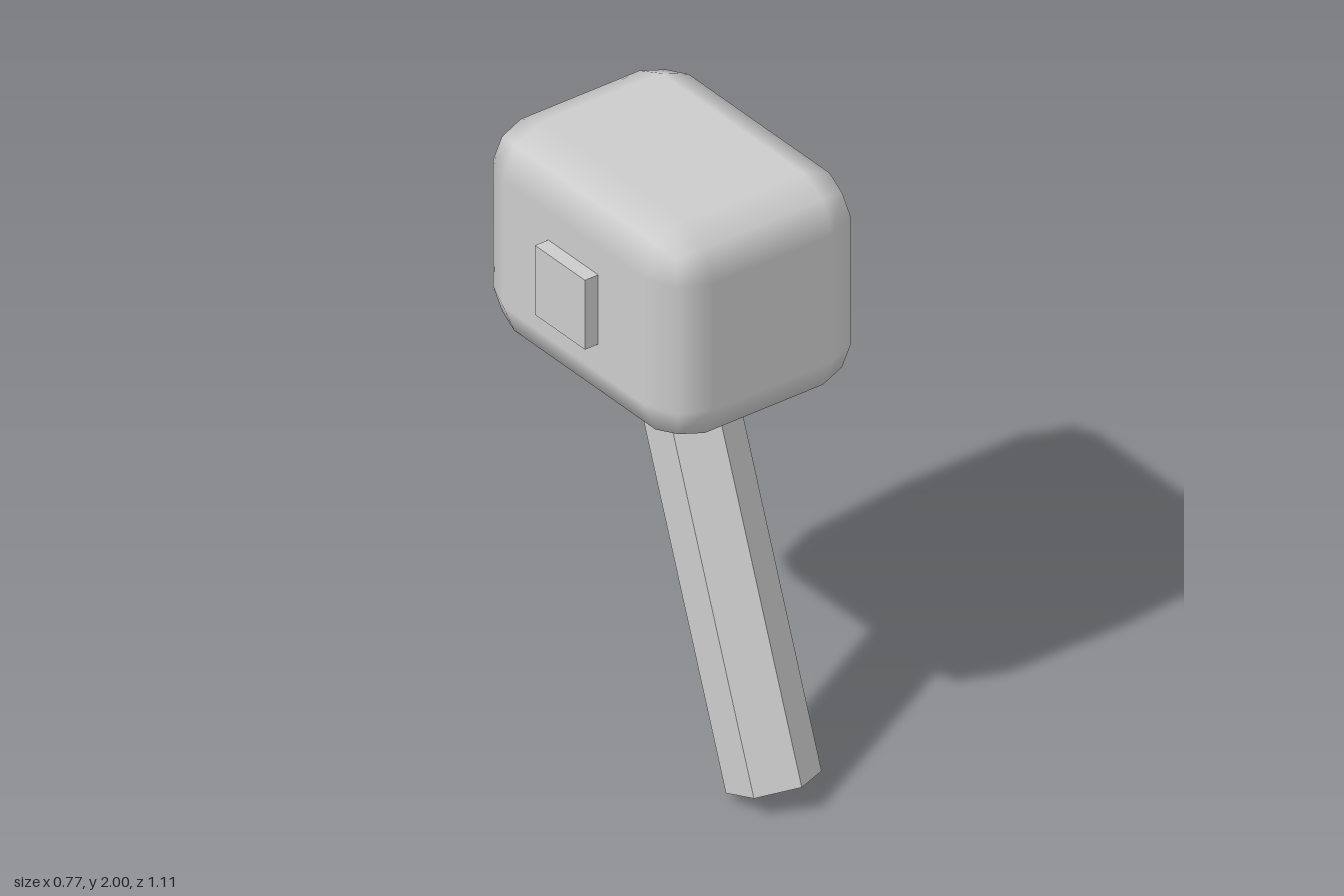
import * as THREE from 'three';
import { RoundedBoxGeometry } from 'three/addons/geometries/RoundedBoxGeometry.js';

export function createModel() {
  const model = new THREE.Group();
  model.name = 'hammer';

  const grey = new THREE.MeshStandardMaterial({ color: 0xcccccc });
  grey.name = 'grey';

  const add = (name, geometry, x, y, z) => {
    const mesh = new THREE.Mesh(geometry, grey);
    mesh.name = name;
    mesh.position.set(x, y, z);
    model.add(mesh);
    return mesh;
  };

  const centreX = 0.022, headY = 1.637, headZ = -0.07;

  // Head: block with smooth two-step bevels
  add('head', new RoundedBoxGeometry(0.726, 0.726, 0.97, 1, 0.145), centreX, headY, headZ);

  // Square plate on the side of the head, sunk slightly into it
  add('sidePlate', new THREE.BoxGeometry(0.08, 0.24, 0.24), -0.35, headY, headZ);

  // Handle: flat-sided hexagonal bar leaning back into the head
  const length = 1.5, tilt = THREE.MathUtils.degToRad(20);
  const bar = new THREE.CylinderGeometry(0.1437, 0.1437, length, 6).toNonIndexed();
  bar.computeVertexNormals();
  bar.translate(0, length / 2, 0);
  add('handle', bar, centreX, 0.049, 0.42).rotation.x = -tilt;

  return model;
}
